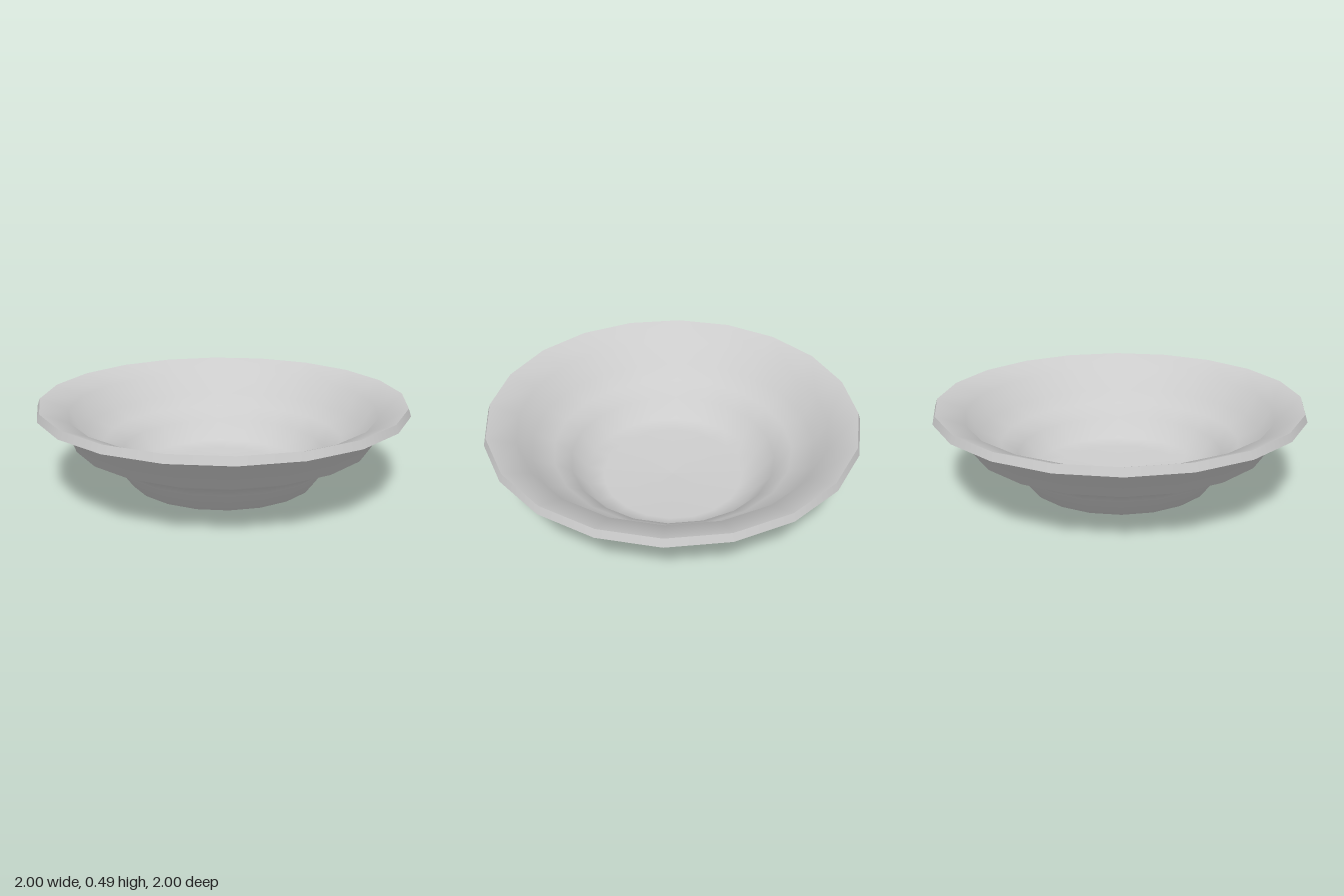
import * as THREE from 'three';

const SIDES = 20;

// Profiles as [radius, height], running so the surface faces away from the shell
const outer = [
  [0, 0], [0.41, 0.014], [0.516, 0.036], [0.596, 0.148], [0.687, 0.212],
  [0.81, 0.268], [0.853, 0.386], [1, 0.447],
];
const lip = [[1, 0.447], [0.986, 0.488]];
const inner = [
  [0.986, 0.488], [0.836, 0.426], [0.77, 0.302], [0.655, 0.25],
  [0.565, 0.184], [0.485, 0.076], [0.39, 0.056], [0, 0.043],
];

export function createModel() {
  const group = new THREE.Group();
  group.name = 'bowl';
  const material = new THREE.MeshStandardMaterial({ color: 0xcccccc });

  function turned(name, profile) {
    const points = profile.map(([r, y]) => new THREE.Vector2(r, y));
    const mesh = new THREE.Mesh(new THREE.LatheGeometry(points, SIDES), material);
    mesh.name = name;
    group.add(mesh);
  }

  // Separate lathes keep the rim edges sharp while each wall stays smooth
  turned('outerWall', outer);
  turned('rimLip', lip);
  turned('innerWall', inner);
  return group;
}
